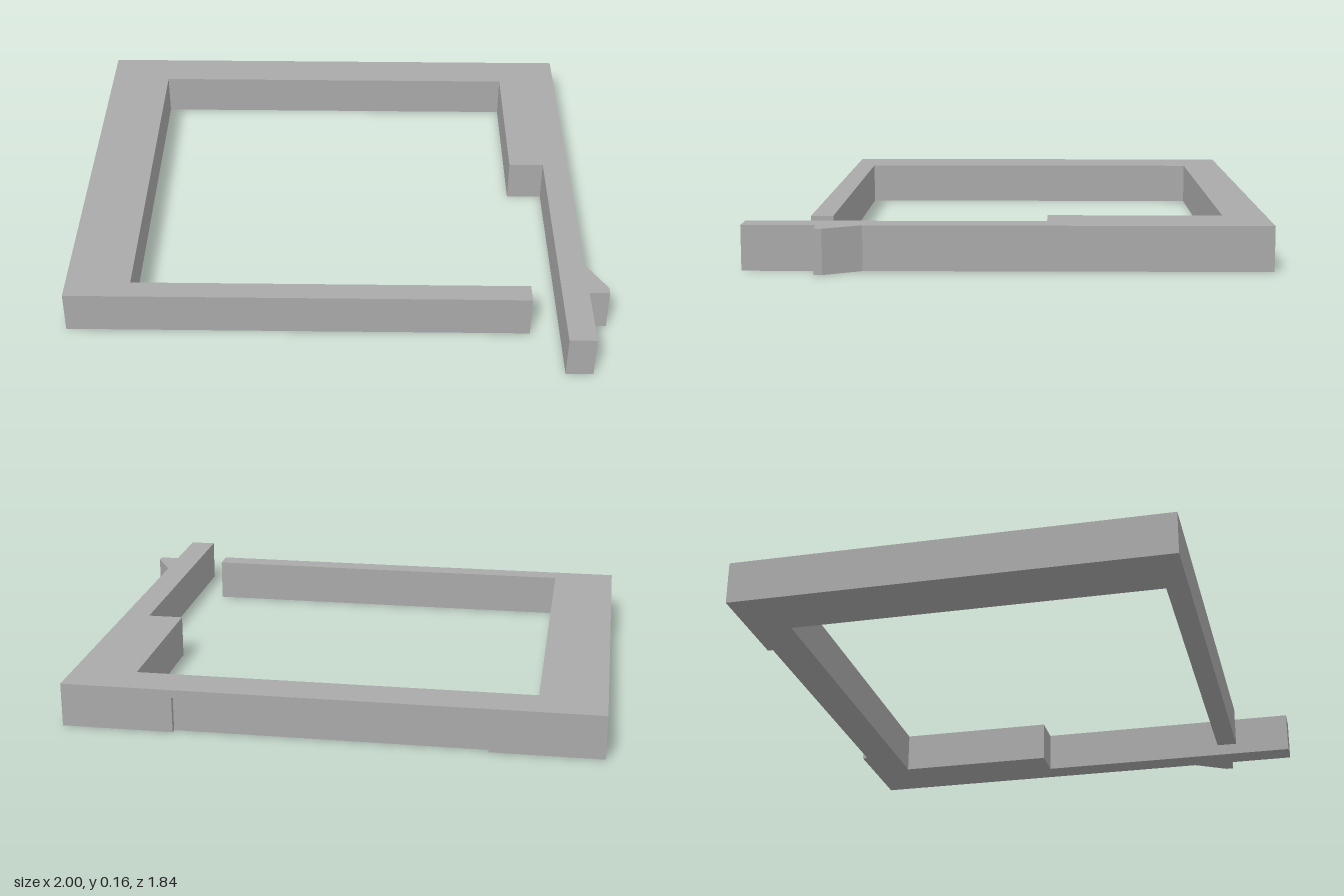
import * as THREE from 'three';

const HEIGHT = 0.16;
const BACK = -0.92;   // outer back face
const RECESS = 0.02;  // depth of the slot in the back face

function shapeOf(points) {
  return new THREE.Shape(points.map(([x, y]) => new THREE.Vector2(x, y)));
}

export function createModel() {
  const model = new THREE.Group();
  const grey = new THREE.MeshStandardMaterial({ color: 0xaaaaaa });
  grey.name = 'grey';

  const add = (name, geometry) => {
    const mesh = new THREE.Mesh(geometry, grey);
    mesh.name = name;
    model.add(mesh);
  };

  // Open frame with thick sides, thin front bar and springy latch arm, as (x, z) outline
  const outline = [
    [-1, BACK + RECESS], [-1, 0.705], [0.715, 0.705], [0.715, 0.625],
    [-0.76, 0.625], [-0.76, -0.765], [0.69, -0.765], [0.69, -0.14],
    [0.825, -0.14], [0.825, 0.92], [0.925, 0.92],
    [0.925, 0.66], [1, 0.66], [1, 0.63], [0.925, 0.5], // latch hook
    [0.925, BACK + RECESS],
  ];
  const frame = new THREE.ExtrudeGeometry(shapeOf(outline.map(([x, z]) => [x, -z])),
    { depth: HEIGHT, bevelEnabled: false });
  frame.rotateX(-Math.PI / 2);
  add('latchFrame', frame);

  // Back skin: ends and top lip around a slot that is open at the bottom
  const lip = HEIGHT - 0.03;
  const skin = new THREE.ExtrudeGeometry(shapeOf([
    [-1, 0], [-0.6, 0], [-0.6, lip], [0.52, lip], [0.52, 0],
    [0.925, 0], [0.925, HEIGHT], [-1, HEIGHT],
  ]), { depth: RECESS, bevelEnabled: false });
  skin.translate(0, 0, BACK);
  add('backLip', skin);

  return model;
}
